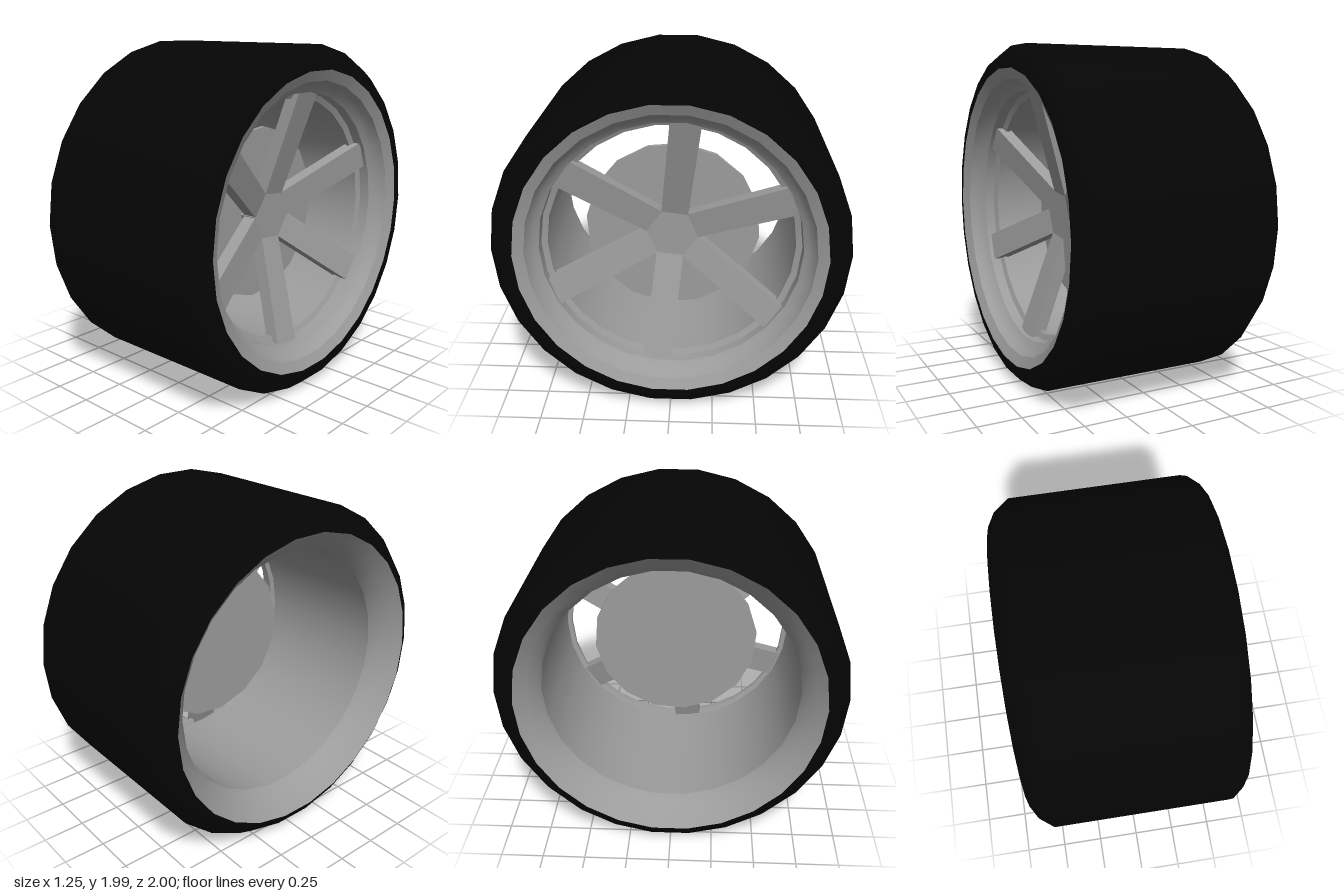
import * as THREE from 'three';

const AXLE_Y = 0.993, SIDES = 26;

// Revolve [x, radius] points around the x axis; a repeated point makes a sharp edge
function revolve(points, material, name) {
  const geo = new THREE.LatheGeometry(points.map(([x, r]) => new THREE.Vector2(r, x)), SIDES);
  geo.rotateZ(-Math.PI / 2);
  const mesh = new THREE.Mesh(geo, material);
  mesh.name = name;
  return mesh;
}

// Flat sided disc between two x positions
function disc(x0, x1, radius, sides, material, name) {
  const geo = new THREE.CylinderGeometry(radius, radius, x1 - x0, sides);
  geo.rotateZ(-Math.PI / 2);
  const flat = geo.toNonIndexed();
  flat.computeVertexNormals();
  const mesh = new THREE.Mesh(flat, material);
  mesh.position.x = (x0 + x1) / 2;
  mesh.name = name;
  return mesh;
}

// Bar leaning outwards from the hub to the rim, slightly wider at the tip
function spokeGeometry() {
  const inner = 0.13, outer = 0.742, t = 0.08;
  const geo = new THREE.BoxGeometry(t, outer - inner, 1);
  const p = geo.attributes.position;
  for (let i = 0; i < p.count; i++) {
    const tip = p.getY(i) > 0;
    p.setX(i, p.getX(i) - t / 2 + (tip ? 0.49 : 0.30));
    p.setY(i, tip ? outer : inner);
    p.setZ(i, p.getZ(i) * (tip ? 0.17 : 0.155));
  }
  geo.computeVertexNormals();
  return geo;
}

export function createModel() {
  const rubber = new THREE.MeshStandardMaterial({ color: 0x050505 });
  rubber.name = 'black rubber';
  const metal = new THREE.MeshStandardMaterial({ color: 0x9c9c9c, side: THREE.DoubleSide });
  metal.name = 'grey metal';

  const wheel = new THREE.Group();
  wheel.name = 'wheel';
  wheel.position.y = AXLE_Y;

  // Tyre tread and shoulders
  wheel.add(revolve([
    [-0.625, 0.865], [-0.58, 0.94], [-0.5, 1], [0.54, 1], [0.61, 0.945], [0.625, 0.865],
  ], rubber, 'tyre'));

  // Rim: sloped lip, stepped wall, narrow ring, barrel, flared inner lip
  wheel.add(revolve([
    [0.625, 0.865], [0.595, 0.805], [0.595, 0.805], [0.56, 0.79], [0.53, 0.765],
    [0.51, 0.738], [0.51, 0.738], [0.45, 0.735], [0.45, 0.735],
    [0.435, 0.702], [0.435, 0.702], [0.41, 0.702], [0.41, 0.702], [0.4, 0.73], [0.4, 0.73],
    [-0.46, 0.735], [-0.46, 0.735], [-0.51, 0.755], [-0.57, 0.805], [-0.625, 0.865],
  ], metal, 'rim'));

  // Hub, spokes and brake disc share one turn about the axle
  const centre = new THREE.Group();
  centre.name = 'wheelCentre';
  centre.rotation.x = -THREE.MathUtils.degToRad(6.3);
  centre.add(disc(0.19, 0.3, 0.165, 6, metal, 'hub'));
  centre.add(disc(0.17, 0.2, 0.515, 16, metal, 'brakeDisc'));
  const spoke = spokeGeometry();
  for (let i = 0; i < 6; i++) {
    const mesh = new THREE.Mesh(spoke, metal);
    mesh.name = 'spoke';
    mesh.rotation.x = i * Math.PI / 3;
    centre.add(mesh);
  }
  wheel.add(centre);

  const model = new THREE.Group();
  model.name = 'spokedWheel';
  model.add(wheel);
  return model;
}
